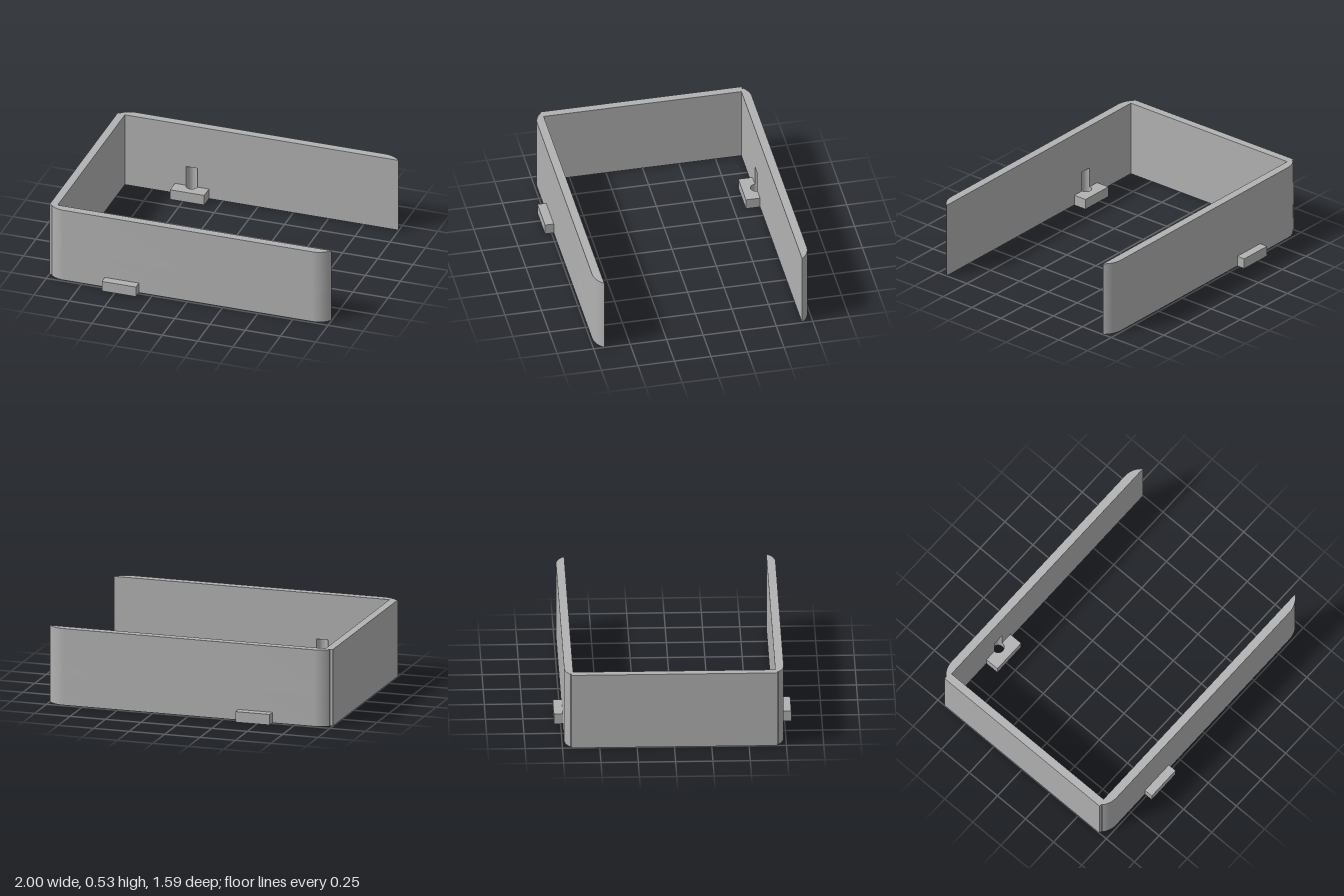
import * as THREE from 'three';
import { toCreasedNormals } from 'three/addons/utils/BufferGeometryUtils.js';

const HEIGHT = 0.53, GROOVE_TOP = 0.215, TAB_HEIGHT = 0.073;
const INNER = 0.677, OUTER = 0.735, HOLE_X = -0.47, HOLE_R = 0.04;

// Points on a circle from angle a to angle b
function arc(cx, cy, r, a, b, n = 14) {
  return Array.from({ length: n + 1 }, (_, i) => {
    const t = a + (b - a) * i / n;
    return new THREE.Vector2(cx + r * Math.cos(t), cy + r * Math.sin(t));
  });
}

// Raise a plan shape from height y0 to y1
function raise(shape, y0, y1) {
  const g = new THREE.ExtrudeGeometry(shape, { depth: y1 - y0, bevelEnabled: false, curveSegments: 24 });
  g.rotateX(-Math.PI / 2).translate(0, y0, 0);
  return toCreasedNormals(g, 0.45);
}

// U-shaped plan of the walls, with or without the screw grooves
function wallPlan(grooved) {
  const r = 0.15, cy = OUTER - r;
  const half = [
    new THREE.Vector2(-1, 0.69),
    new THREE.Vector2(-0.98, 0.69),
    ...arc(-0.88, cy, r, Math.PI - Math.acos(0.1 / r), Math.PI / 2),
    ...arc(0.88, cy, r, Math.PI / 2, Math.asin((INNER - cy) / r)),
    ...(grooved ? arc(HOLE_X, INNER, HOLE_R, 0, Math.PI) : []),
    new THREE.Vector2(-0.945, INNER),
  ];
  const mirrored = half.map(p => new THREE.Vector2(p.x, -p.y)).reverse();
  return new THREE.Shape([...half, ...mirrored]);
}

// Mounting tab straddling a side wall, with a screw hole
function tabPlan(side) {
  const s = new THREE.Shape([
    [-0.59, 0.58], [-0.348, 0.58], [-0.348, 0.795], [-0.59, 0.795],
  ].map(([x, z]) => new THREE.Vector2(x, z * side)));
  s.holes.push(new THREE.Path(arc(HOLE_X, INNER * side, HOLE_R, 0, Math.PI * 2, 28).slice(0, -1)));
  return s;
}

export function createModel() {
  const model = new THREE.Group();
  model.name = 'bracketFrame';
  const grey = new THREE.MeshStandardMaterial({ color: 0xb2b2b2 });
  grey.name = 'grey';
  const add = (name, geometry) => {
    const mesh = new THREE.Mesh(geometry, grey);
    mesh.name = name;
    model.add(mesh);
  };

  // Walls: grooved lower band and plain upper band
  add('lowerWalls', raise(wallPlan(true), 0, GROOVE_TOP));
  add('upperWalls', raise(wallPlan(false), GROOVE_TOP, HEIGHT));

  // Tabs (plan y points to -z)
  add('backTab', raise(tabPlan(1), 0, TAB_HEIGHT));
  add('frontTab', raise(tabPlan(-1), 0, TAB_HEIGHT));
  return model;
}
